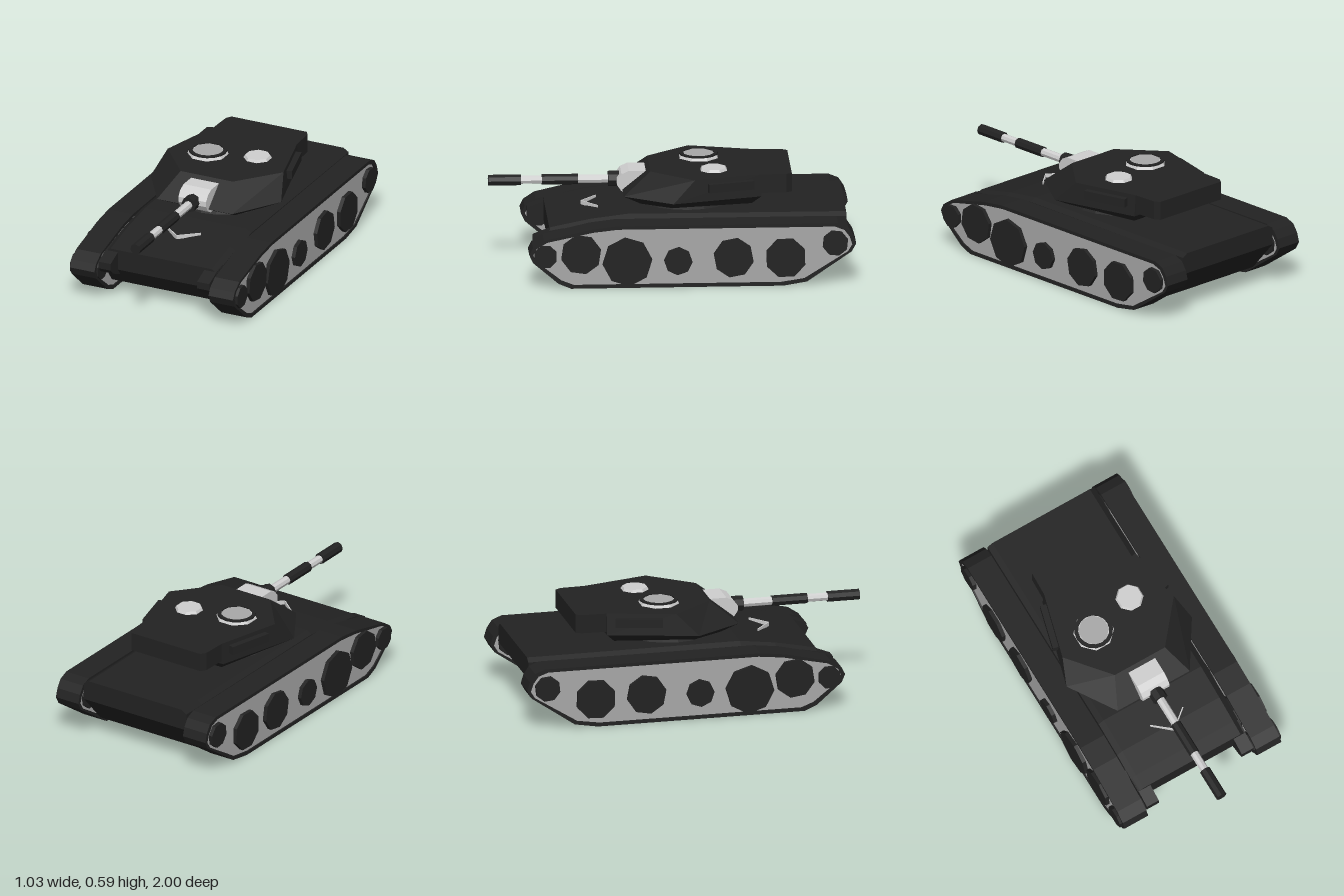
import * as THREE from 'three';

const mat = (name, color, side = THREE.FrontSide) => {
  const m = new THREE.MeshStandardMaterial({ color, side, flatShading: true });
  m.name = name;
  return m;
};

// Skin a list of equal-length rings; skip(level, side) leaves faces open
function loft(rings, skip = () => false) {
  const pos = [];
  const tri = (...pts) => pts.forEach(p => pos.push(...p));
  const n = rings[0].length;
  for (let l = 0; l < rings.length - 1; l++) {
    for (let i = 0; i < n; i++) {
      if (skip(l, i)) continue;
      const j = (i + 1) % n, lo = rings[l], hi = rings[l + 1];
      tri(lo[i], lo[j], hi[j]);
      tri(lo[i], hi[j], hi[i]);
    }
  }
  const first = rings[0], last = rings[rings.length - 1];
  for (let i = 1; i < n - 1; i++) {
    tri(first[0], first[i + 1], first[i]);
    tri(last[0], last[i], last[i + 1]);
  }
  const g = new THREE.BufferGeometry();
  g.setAttribute('position', new THREE.Float32BufferAttribute(pos, 3));
  g.computeVertexNormals();
  return g;
}

// Extrude a [z, y] side profile across x from x0 to x1
function sideExtrude(pts, x0, x1, hole) {
  const shape = new THREE.Shape(pts.map(p => new THREE.Vector2(...p)));
  if (hole) shape.holes.push(new THREE.Path(hole.map(p => new THREE.Vector2(...p))));
  const g = new THREE.ExtrudeGeometry(shape, { depth: x1 - x0, bevelEnabled: false });
  return g.rotateY(-Math.PI / 2).translate(x1, 0, 0);
}

export function createModel() {
  const root = new THREE.Group();
  root.name = 'tank';
  const black = mat('black armour', 0x222222, THREE.DoubleSide);
  const grey = mat('grey plate', 0xa8a8a8);
  const pale = mat('pale metal', 0xcfcfcf);

  const add = (name, geo, material, x = 0, y = 0, z = 0) => {
    const m = new THREE.Mesh(geo, material);
    m.name = name;
    m.position.set(x, y, z);
    root.add(m);
    return m;
  };

  // Hull shell, open underneath between the sloped ends: [z, top, bottom]
  const stations = [
    [-0.955, 0.367, 0.25], [-0.8, 0.367, 0.075], [0.25, 0.37, 0.075],
    [0.45, 0.345, 0.075], [0.6, 0.315, 0.075], [0.68, 0.298, 0.18],
  ];
  const w = 0.342, c = 0.31;
  add('hull', loft(stations.map(([z, t, b]) => [
    [w, b, z], [w, t - 0.02, z], [c, t, z], [-c, t, z], [-w, t - 0.02, z], [-w, b, z],
  ]), (l, i) => i === 5 && l > 0 && l < 4), black);

  // Track outline as [z, y], and its inset for the side plates
  const outline = [
    [0.57, 0], [0.64, 0.03], [0.78, 0.15], [0.8, 0.195], [0.78, 0.235], [0.72, 0.275],
    [0.46, 0.335], [0.32, 0.352], [-0.9, 0.352], [-0.955, 0.33], [-0.985, 0.285],
    [-1, 0.235], [-0.975, 0.19], [-0.73, 0.022], [-0.6, 0],
  ];
  const inset = outline.map(([z, y]) => [(z + 0.1) * 0.977 - 0.1, (y - 0.18) * 0.89 + 0.18]);
  const wheels = [ // z, y, radius
    [0.71, 0.185, 0.065], [0.515, 0.195, 0.112], [0.26, 0.15, 0.137], [-0.02, 0.15, 0.078],
    [-0.325, 0.165, 0.112], [-0.612, 0.16, 0.114], [-0.885, 0.24, 0.072],
  ];
  for (const s of [1, -1]) {
    const side = s > 0 ? 'left' : 'right';
    const x0 = s > 0 ? 0.35 : -0.5;
    add(side + 'Track', sideExtrude(outline, x0, x0 + 0.15, inset), black);
    add(side + 'TrackPlate', sideExtrude(inset, x0 + 0.008, x0 + 0.142), grey);
    wheels.forEach(([z, y, r], i) => {
      const g = new THREE.CylinderGeometry(r, r, 0.172, 8);
      g.rotateY(Math.PI / 8 + i * 0.15).rotateZ(Math.PI / 2);
      add(side + 'Wheel' + (i + 1), g, black, s * 0.428, y, z);
    });
    // Front horn beside the nose plate
    const h0 = s > 0 ? 0.265 : -0.34;
    add(side + 'Horn', sideExtrude(
      [[0.6, 0.12], [0.74, 0.18], [0.77, 0.21], [0.77, 0.25], [0.68, 0.285], [0.6, 0.3]],
      h0, h0 + 0.075), black);
    // Splash guard on the glacis
    add(side + 'SplashGuard', new THREE.BoxGeometry(0.135, 0.022, 0.006), pale,
      s * 0.053, 0.352, 0.445).rotation.y = s * 0.69;
    // Stowage box on the turret flank
    add(side + 'StowageBox', new THREE.BoxGeometry(0.04, 0.048, 0.26), black,
      s * 0.317, 0.52, -0.32).rotation.y = s * 0.257;
  }

  // Turret ring, reaching down into the open hull
  add('turretRing', new THREE.CylinderGeometry(0.25, 0.28, 0.02, 20), black, 0, 0.388, -0.09);
  add('turretBasket', new THREE.CylinderGeometry(0.25, 0.25, 0.13, 20), black, 0, 0.335, -0.09);

  // Faceted turret: half outlines as [x, z], front to back
  const ring = (y, half) => [
    ...half.map(([x, z]) => [x, y, z]),
    ...half.map(([x, z]) => [-x, y, z]).reverse(),
  ];
  add('turret', loft([
    ring(0.395, [[0.2, 0.17], [0.3, 0], [0.22, -0.44]]),
    ring(0.445, [[0.23, 0.265], [0.4, 0], [0.265, -0.49]]),
    ring(0.567, [[0.16, 0.115], [0.355, -0.12], [0.255, -0.49]]),
  ]), black);
  add('turretBustle', loft([
    ring(0.462, [[0.255, -0.49], [0.25, -0.63], [0.23, -0.66]]),
    ring(0.567, [[0.255, -0.49], [0.25, -0.63], [0.23, -0.66]]),
  ]), black);

  // Roof hatches
  const disc = (r0, r1, h) => new THREE.CylinderGeometry(r0, r1, h, 8).rotateY(Math.PI / 8);
  add('commanderHatchBase', disc(0.105, 0.115, 0.02), pale, -0.13, 0.575, -0.165);
  const rim = new THREE.Shape().absarc(0, 0, 0.107, 0, Math.PI * 2);
  rim.holes.push(new THREE.Path().absarc(0, 0, 0.086, 0, Math.PI * 2));
  add('commanderHatchRim', new THREE.ExtrudeGeometry(rim,
    { depth: 0.008, bevelEnabled: false, curveSegments: 8 })
    .rotateX(-Math.PI / 2).rotateY(Math.PI / 8), black, -0.13, 0.584, -0.165);
  add('commanderHatchLid', disc(0.086, 0.086, 0.006), grey, -0.13, 0.585, -0.165);
  add('loaderHatch', disc(0.07, 0.08, 0.018), pale, 0.14, 0.573, -0.235);

  // Rounded mantlet and its collar
  add('mantlet', sideExtrude([
    [0.1, 0.415], [0.235, 0.415], [0.272, 0.437], [0.294, 0.47], [0.294, 0.5],
    [0.27, 0.532], [0.23, 0.55], [0.1, 0.55],
  ], -0.085, 0.085), pale);

  // Barrel sections: name, radius, start z, end z, material
  [
    ['barrelCollar', 0.044, 0.28, 0.34, black],
    ['barrelRoot', 0.024, 0.33, 0.51, pale],
    ['barrelSleeve', 0.03, 0.505, 0.705, black],
    ['barrelFront', 0.023, 0.7, 0.83, pale],
    ['muzzle', 0.031, 0.82, 1, black],
  ].forEach(([name, r, z0, z1, m]) => add(name,
    new THREE.CylinderGeometry(r, r, z1 - z0, 8).rotateX(Math.PI / 2),
    m, 0, 0.485, (z0 + z1) / 2));

  return root;
}
